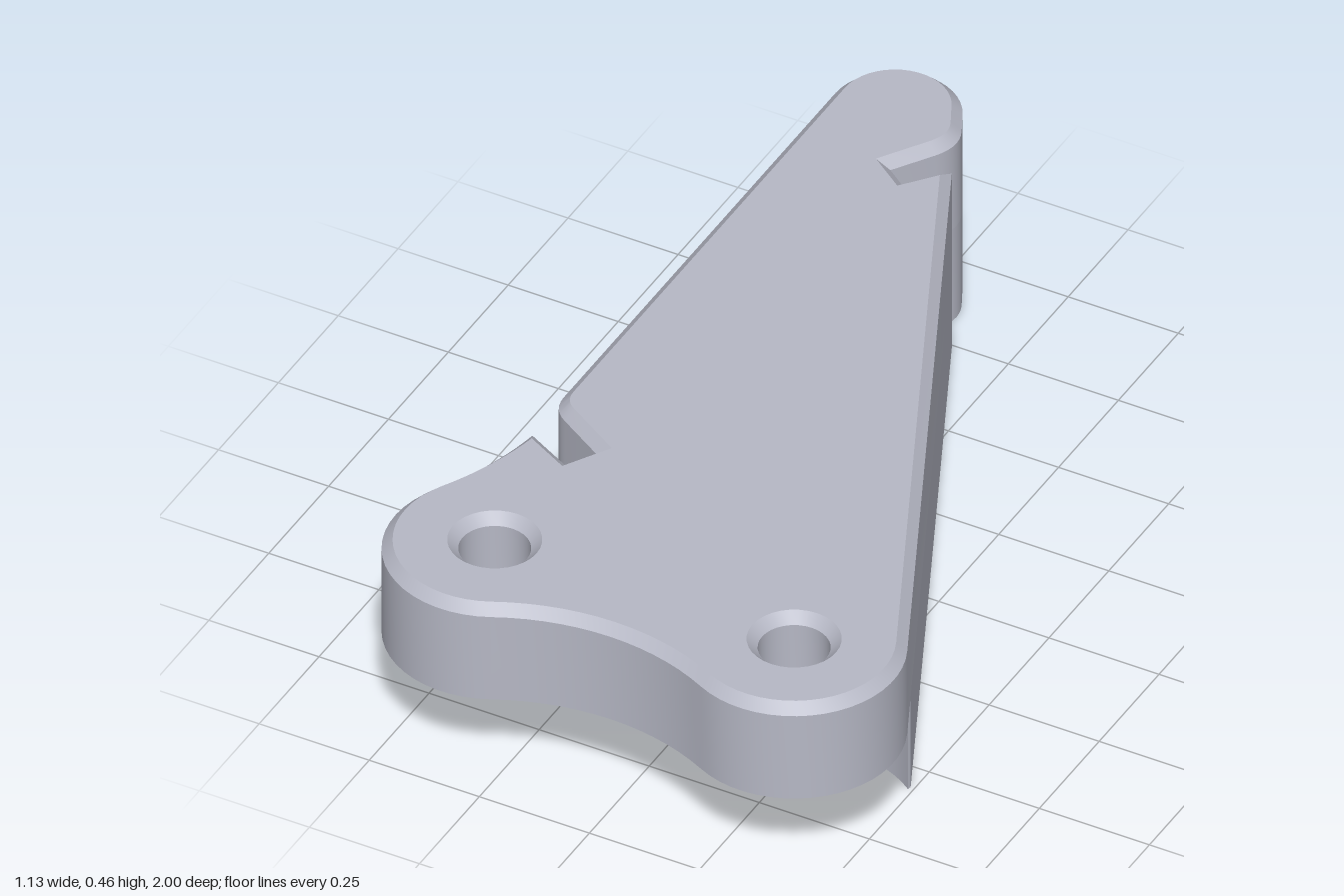
import * as THREE from 'three';
import { toCreasedNormals } from 'three/addons/utils/BufferGeometryUtils.js';

const V = (x, z) => new THREE.Vector2(x, z);

// Plan curves are drawn in (x, z)
function arc(cx, cz, r, a0, a1, n) {
  return Array.from({ length: n + 1 }, (_, i) => {
    const a = a0 + (a1 - a0) * i / n;
    return V(cx + r * Math.cos(a), cz + r * Math.sin(a));
  });
}
const bend = (a, b, c, n) => new THREE.QuadraticBezierCurve(a, b, c).getPoints(n);

// Drop neighbouring points that coincide
const clean = pts => pts.filter((p, i) => p.distanceTo(pts[(i + 1) % pts.length]) > 0.003);

// Mitred inset of a closed loop, towards its left-hand side
function inset(pts, d) {
  const n = pts.length;
  const normal = (a, b) => V(a.y - b.y, b.x - a.x).normalize();
  return pts.map((p, i) => {
    const n1 = normal(pts[(i + n - 1) % n], p), n2 = normal(p, pts[(i + 1) % n]);
    const m = n1.clone().add(n2);
    return p.clone().addScaledVector(m, d / (1 + n1.dot(n2)));
  });
}

// Solid from loops (outline first, then holes) stacked through levels [y, inset]
function solid(loops, levels) {
  const pos = [];
  const put = (p, y) => pos.push(p.x, y, p.y);
  const rings = levels.map(([, d]) => loops.map(l => (d ? inset(l, d) : l)));
  for (let k = 0; k < levels.length - 1; k++) {
    const y0 = levels[k][0], y1 = levels[k + 1][0];
    loops.forEach((loop, h) => {
      const a = rings[k][h], b = rings[k + 1][h];
      loop.forEach((_, i) => {
        const j = (i + 1) % loop.length;
        put(a[i], y0); put(b[i], y1); put(b[j], y1);
        put(a[i], y0); put(b[j], y1); put(a[j], y0);
      });
    });
  }
  const cap = (ring, y, up) => {
    const all = ring.flat();
    for (const [a, b, c] of THREE.ShapeUtils.triangulateShape(ring[0], ring.slice(1))) {
      for (const i of up ? [a, c, b] : [a, b, c]) put(all[i], y);
    }
  };
  cap(rings[0], levels[0][0], false);
  cap(rings[rings.length - 1], levels[levels.length - 1][0], true);
  const g = new THREE.BufferGeometry();
  g.setAttribute('position', new THREE.Float32BufferAttribute(pos, 3));
  return toCreasedNormals(g, 0.5);
}

export function createModel() {
  const group = new THREE.Group();
  const grey = new THREE.MeshStandardMaterial({ color: 0xb6b8c5 });
  grey.name = 'plain grey';

  const hx = 0.34, hz = 0.77, lobe = 0.226, mid = 0.23, top = 0.459;

  // Edge shared by both layers: left flank, notch, rounded end, notch, slanted side
  const flank = [
    ...bend(V(-0.536, 0.657), V(-0.47, 0.543), V(-0.45, 0.41), 10),
    V(-0.345, 0.465), V(-0.308, 0.403),
    ...bend(V(-0.415, 0.338), V(-0.455, 0.315), V(-0.455, 0.27), 6),
    ...arc(-0.32, -0.865, 0.135, Math.PI, 2 * Math.PI - 0.45, 18),
    ...bend(V(-0.175, -0.877), V(-0.15, -0.83), V(-0.182, -0.78), 7),
    V(-0.238, -0.695), V(-0.192, -0.662), V(-0.125, -0.744),
  ];

  // Upper plate with two lobes, chamfered rim and chamfered holes
  const plateEdge = clean([
    ...flank,
    ...arc(hx, hz, lobe, -0.441, 2.039, 20),
    ...arc(0, 1.443, 0.528, -1.103, -2.039, 14),
    ...arc(-hx, hz, lobe, 1.103, 3.665, 20),
  ]);
  const holes = [-hx, hx].map(x => clean(arc(x, hz, 0.073, 2 * Math.PI, 0, 32)));
  const plate = new THREE.Mesh(
    solid([plateEdge, ...holes], [[mid, 0], [top - 0.022, 0], [top, 0.022]]), grey);
  plate.name = 'upperPlate';

  // Lower body, scooped out around both lobes
  const bodyEdge = clean([
    ...flank.slice(4),
    V(0.491, 0.561),
    ...arc(hx, hz, 0.25, -0.93, -2.165, 12),
    ...arc(0, 0.267, 0.357, 0.977, 2.165, 14),
    ...arc(-hx, hz, 0.25, -0.977, -2.198, 12),
  ]);
  const body = new THREE.Mesh(solid([bodyEdge], [[0, 0], [mid, 0]]), grey);
  body.name = 'lowerBody';

  group.add(plate, body);
  return group;
}
